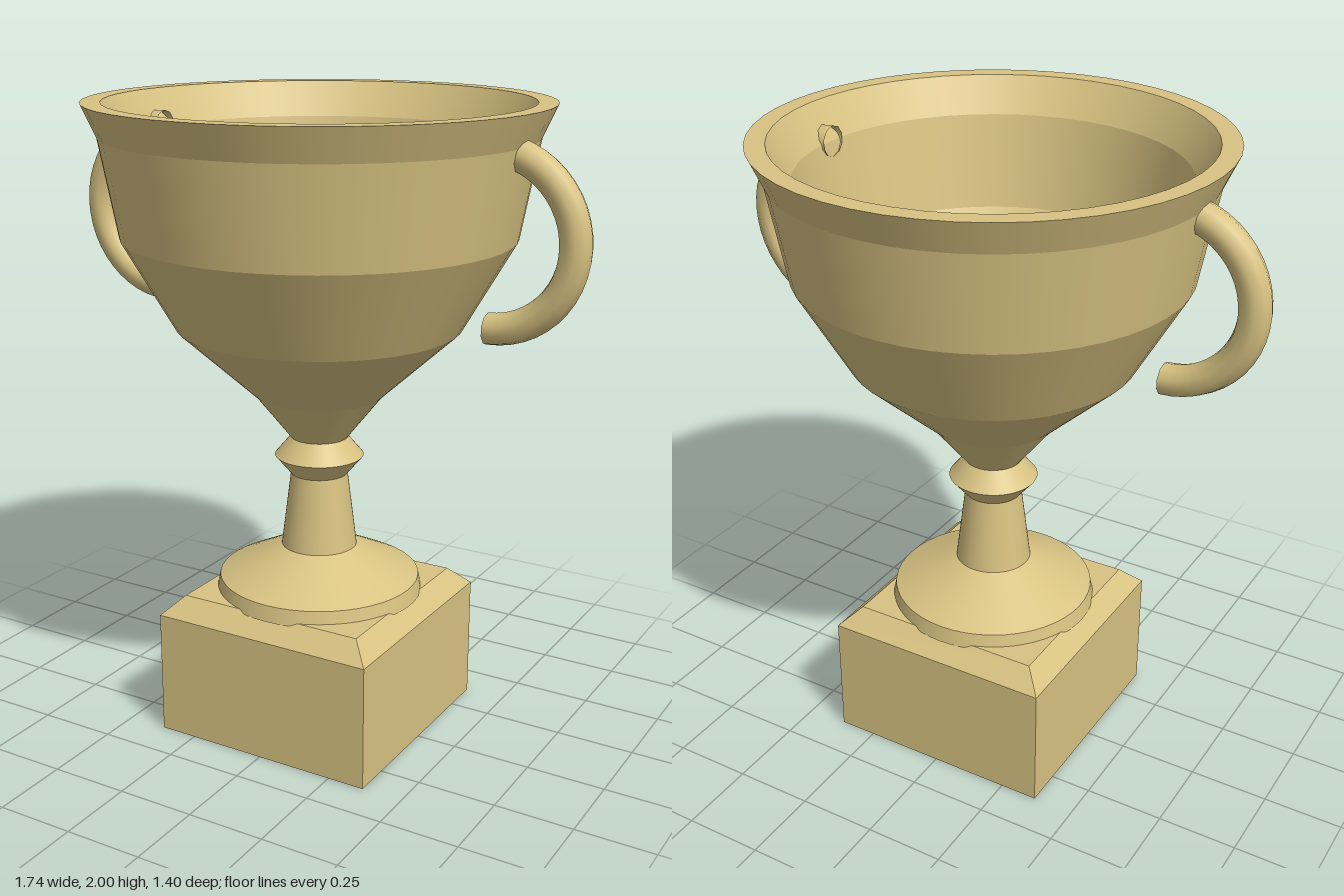
import * as THREE from 'three';
import { mergeGeometries } from 'three/addons/utils/BufferGeometryUtils.js';

// Turned surface: smooth around the axis, crisp between the bands of the profile
function turned(profile, segments = 48) {
  const bands = [];
  for (let i = 0; i < profile.length - 1; i++) {
    const pair = [profile[i], profile[i + 1]].map(([r, y]) => new THREE.Vector2(r, y));
    bands.push(new THREE.LatheGeometry(pair, segments));
  }
  return mergeGeometries(bands);
}

export function createModel() {
  const group = new THREE.Group();
  const gold = new THREE.MeshStandardMaterial({ color: 0xd8c382, side: THREE.DoubleSide });
  gold.name = 'gold';

  const add = (name, geometry) => {
    const mesh = new THREE.Mesh(geometry, gold);
    mesh.name = name;
    group.add(mesh);
    return mesh;
  };

  // Square plinth with a bevelled top
  add('plinth', new THREE.BoxGeometry(0.74, 0.4, 0.74)).position.y = 0.2;
  const bevel = new THREE.CylinderGeometry(0.31 * Math.SQRT2, 0.37 * Math.SQRT2, 0.06, 4, 1)
    .rotateY(Math.PI / 4).toNonIndexed();
  bevel.computeVertexNormals();
  add('plinthBevel', bevel).position.y = 0.43;

  // Foot, stem and knob
  add('foot', turned([[0, 0.45], [0.33, 0.45], [0.32, 0.5], [0.12, 0.6]]));
  add('stem', turned([[0.12, 0.6], [0.09, 0.84]]));
  add('knob', turned([[0.09, 0.84], [0.14, 0.9], [0.09, 0.96]]));

  // Cup: outer wall, rim, then inner wall down to the dished floor
  add('cup', turned([
    [0.09, 0.96], [0.2, 1.1], [0.44, 1.32], [0.6, 1.6], [0.655, 1.9], [0.7, 2],
    [0.64, 2], [0.575, 1.89], [0.52, 1.6], [0.38, 1.34], [0, 1.2],
  ]));

  // Half-ring handles, open at the ends
  for (const side of [1, -1]) {
    const ring = new THREE.TorusGeometry(0.257, 0.048, 10, 24, Math.PI).rotateZ(-side * Math.PI / 2);
    add(side > 0 ? 'leftHandle' : 'rightHandle', ring).position.set(side * 0.563, 1.635, 0);
  }
  return group;
}
